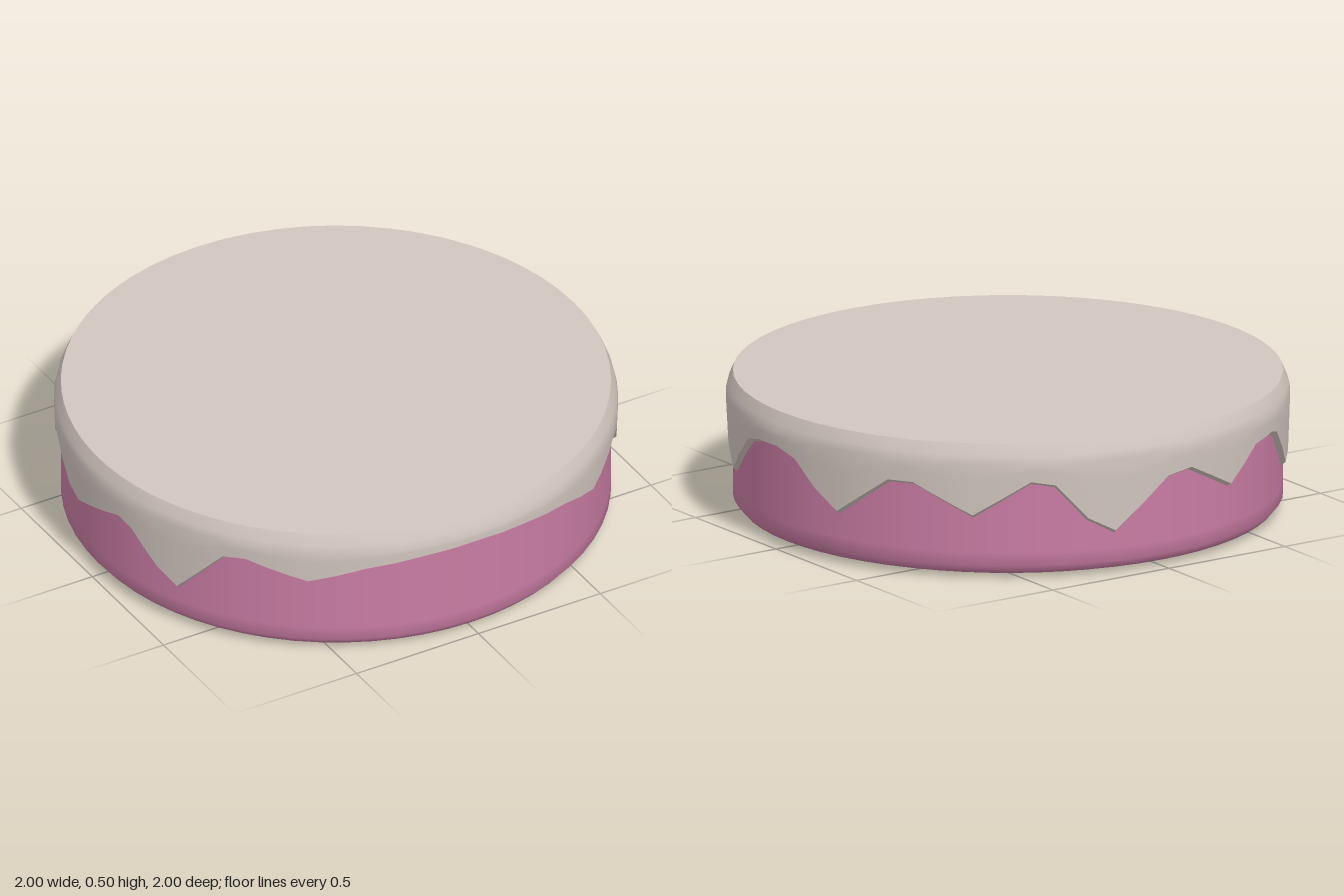
import * as THREE from 'three';

// Drip outline: angle in degrees (0 = front, 90 = +x), height of the icing's lower edge
const DRIPS = [
  [0, 0.4], [12, 0.39], [24, 0.365], [36, 0.305], [49, 0.375], [54, 0.36], [60, 0.255], [66, 0.19],
  [78, 0.355], [83, 0.375], [90, 0.38], [96, 0.355], [101.5, 0.27], [107.5, 0.2], [120, 0.35],
  [125.5, 0.35], [138, 0.24], [150, 0.365], [155, 0.35], [162, 0.22], [168, 0.165], [180, 0.34], [186, 0.355],
  [198, 0.25], [207, 0.36], [215, 0.37], [218, 0.355], [228, 0.195], [234, 0.21], [244, 0.36],
  [248, 0.375], [258, 0.27], [263, 0.255], [279, 0.35], [283, 0.33], [290, 0.22], [295, 0.17], [306, 0.365],
  [311, 0.375], [324, 0.31], [336, 0.365], [348, 0.39], [360, 0.4],
];
const TOP = 0.5;
const TOP_RADIUS = 0.975;
const INNER_RADIUS = 0.972;

// Subdivide the outline so the rim stays round
function outline() {
  const out = [];
  for (let i = 0; i < DRIPS.length - 1; i++) {
    const [a0, y0] = DRIPS[i];
    const [a1, y1] = DRIPS[i + 1];
    const n = Math.ceil((a1 - a0) / 6);
    for (let k = 0; k < n; k++) {
      const t = k / n;
      out.push({ angle: THREE.MathUtils.degToRad(a0 + (a1 - a0) * t), y: y0 + (y1 - y0) * t });
    }
  }
  return out;
}

// Closed band: each column is a list of [radius, y] from top to bottom
function band(columns, profile) {
  const positions = [];
  const index = [];
  const rows = profile(columns[0]).length;
  columns.forEach((c, i) => {
    for (const [r, y] of profile(c)) positions.push(r * Math.sin(c.angle), y, r * Math.cos(c.angle));
    const a = i * rows;
    const b = ((i + 1) % columns.length) * rows;
    for (let j = 0; j < rows - 1; j++) {
      index.push(a + j, a + j + 1, b + j, b + j, a + j + 1, b + j + 1);
    }
  });
  const geometry = new THREE.BufferGeometry();
  geometry.setAttribute('position', new THREE.Float32BufferAttribute(positions, 3));
  geometry.setIndex(index);
  geometry.computeVertexNormals();
  return geometry;
}

export function createModel() {
  const group = new THREE.Group();
  group.name = 'icedCake';
  const sponge = new THREE.MeshStandardMaterial({ name: 'pink sponge', color: 0xc97ca3 });
  const icing = new THREE.MeshStandardMaterial({ name: 'pale icing', color: 0xd2c6bf });

  const add = (name, geometry, material) => {
    const mesh = new THREE.Mesh(geometry, material);
    mesh.name = name;
    group.add(mesh);
    return mesh;
  };

  // Cake body with a rounded bottom edge
  const bodyProfile = [[0, 0], [0.87, 0], [0.89, 0.002], [0.95, 0.02], [0.975, 0.05], [0.975, 0.1], [0.975, 0.47]]
    .map(([r, y]) => new THREE.Vector2(r, y));
  add('cakeBody', new THREE.LatheGeometry(bodyProfile, 64), sponge);

  // Icing wall hanging down in drips
  const columns = outline();
  const wallRadius = (y) => 1 - Math.max(0, 0.41 - y) * 0.04;
  add('icingDrips', band(columns, ({ y }) => {
    const profile = [[TOP_RADIUS, TOP], [0.993, 0.46], [1, 0.43]];
    for (let k = 1; k <= 3; k++) {
      const h = 0.43 + (y - 0.43) * k / 3;
      profile.push([wallRadius(h), h]);
    }
    return profile;
  }), icing);

  // Underside lip joining the drips to the body
  add('icingLip', band(columns, ({ y }) => [[wallRadius(y), y], [INNER_RADIUS, y - 0.014]]), icing);

  // Flat icing top
  const disc = new THREE.Shape(columns.map(({ angle }) =>
    new THREE.Vector2(TOP_RADIUS * Math.sin(angle), -TOP_RADIUS * Math.cos(angle))));
  const top = add('icingTop', new THREE.ShapeGeometry(disc), icing);
  top.rotation.x = -Math.PI / 2;
  top.position.y = TOP;

  return group;
}
